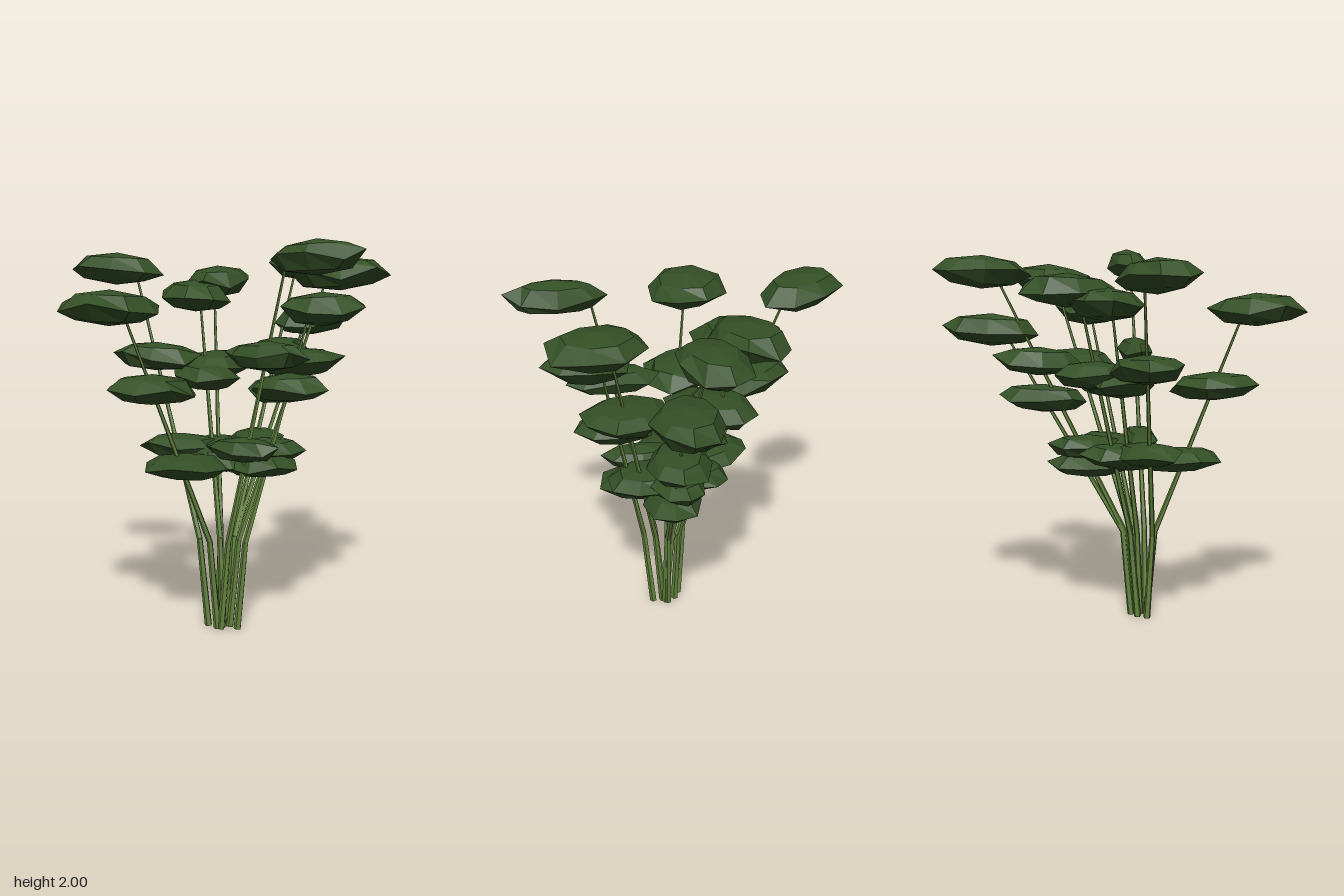
import * as THREE from 'three';
import { mergeVertices } from 'three/addons/utils/BufferGeometryUtils.js';

const leafMaterial = new THREE.MeshStandardMaterial({ color: 0x345026, flatShading: true });
const stemMaterial = new THREE.MeshStandardMaterial({ color: 0x64843f, flatShading: true });

// Small seeded generator for the uneven facets
let seed = 11;
function rand() {
  seed = (seed * 16807) % 2147483647;
  return seed / 2147483647;
}

// Flattened faceted clump, long along its local x
function leafClump(length, height, width) {
  let g = new THREE.SphereGeometry(1, 8, 4);
  g.deleteAttribute('normal');
  g.deleteAttribute('uv');
  g = mergeVertices(g, 1e-3);
  const p = g.attributes.position;
  for (let i = 0; i < p.count; i++) {
    const rim = Math.abs(p.getY(i)) < 0.1;
    const k = rim ? 0.98 + 0.1 * rand() : 0.86 + 0.24 * rand();
    const lift = rim ? (rand() - 0.5) * 0.7 : 0;
    p.setXYZ(i, p.getX(i) * k * length, (p.getY(i) + lift) * height, p.getZ(i) * k * width);
  }
  g.computeVertexNormals();
  return g;
}

// Tapered straight piece of stem between two points
function stemPiece(a, b, r0, r1) {
  const mesh = new THREE.Mesh(new THREE.CylinderGeometry(r1, r0, a.distanceTo(b), 5), stemMaterial);
  mesh.position.copy(a).lerp(b, 0.5);
  mesh.quaternion.setFromUnitVectors(new THREE.Vector3(0, 1, 0), b.clone().sub(a).normalize());
  mesh.name = 'stemPiece';
  return mesh;
}

// Stalk with one bend and three leaves threaded on it; the top leaf sits
// at (x, y, z), reaching past the stem tip in the direction of yaw
function makeStalk({ base, top, yaw, width, length = 0.245, reach = 0.06 }) {
  const stalk = new THREE.Group();
  stalk.name = 'stalk';
  const outward = new THREE.Vector3(Math.cos(yaw), 0, -Math.sin(yaw));
  const foot = new THREE.Vector3(base[0], 0, base[1]);
  const bend = foot.clone().addScaledVector(outward, 0.045).setY(0.47);
  const topLeaf = new THREE.Vector3(...top);
  const tip = topLeaf.clone().addScaledVector(outward, -reach);
  stalk.add(stemPiece(foot, bend, 0.02, 0.016), stemPiece(bend, tip, 0.016, 0.006));

  // Lower leaves follow the stem and get a little smaller
  const middle = bend.clone().lerp(tip, 0.67);
  const low = bend.clone().lerp(tip, 0.34).addScaledVector(outward, -0.03);
  [topLeaf, middle, low].forEach((centre, i) => {
    const k = 1 - 0.06 * i;
    const leaf = new THREE.Mesh(leafClump(length * k, 0.085 - 0.01 * i, width * k), leafMaterial);
    leaf.name = 'leaf';
    leaf.position.copy(centre);
    leaf.rotation.set(0, yaw, 0.05, 'YXZ');
    stalk.add(leaf);
  });
  return stalk;
}

const stalks = [
  { base: [0, 0.17], top: [-0.615, 1.85, -0.02], yaw: -2.85, width: 0.165, reach: 0.1 },
  { base: [0.04, 0.13], top: [-0.155, 1.78, -0.32], yaw: 1.67, width: 0.175 },
  { base: [0.06, 0.19], top: [-0.295, 1.68, 0.65], yaw: -2.21, width: 0.215 },
  { base: [0.1, 0.12], top: [0.21, 1.87, -0.665], yaw: 1.47, width: 0.155 },
  { base: [0.11, 0.14], top: [0.57, 1.83, -0.21], yaw: 0.29, width: 0.205 },
  { base: [0.08, 0.19], top: [0.595, 1.915, 0.26], yaw: -0.2, width: 0.105, reach: 0.16 },
  { base: [0.16, 0.16], top: [0.545, 1.66, 0.01], yaw: -0.1, width: 0.18, length: 0.22 },
  { base: [0.08, 0.16], top: [-0.2, 1.71, -0.13], yaw: 2.36, width: 0.18 },
  { base: [0.09, 0.11], top: [0.3, 1.57, -0.6], yaw: 1.23, width: 0.17 },
];

export function createModel() {
  const model = new THREE.Group();
  model.name = 'leafyPlant';
  stalks.forEach((s) => model.add(makeStalk(s)));
  return model;
}
